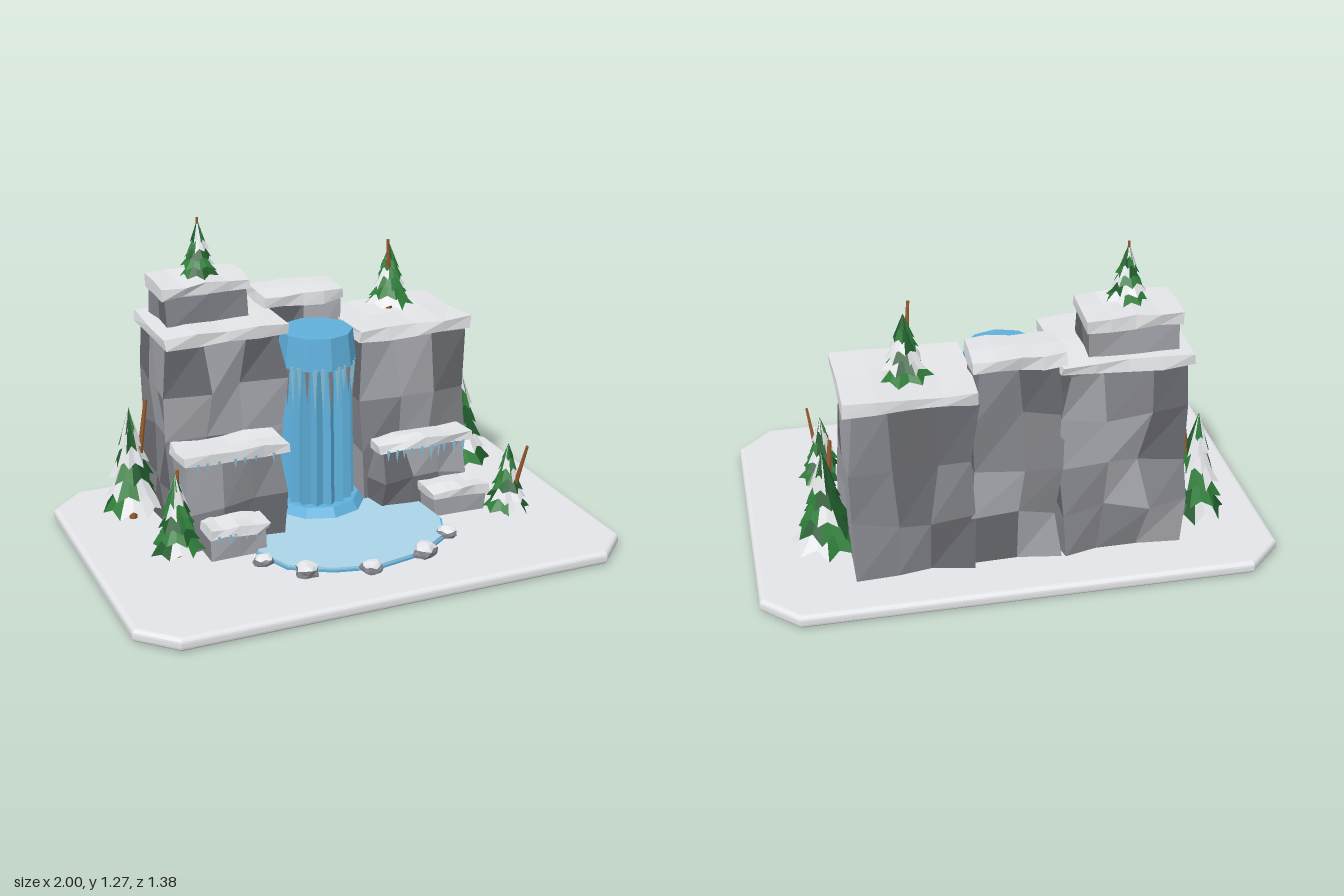
import * as THREE from 'three';

const mat = (name, color) => {
  const m = new THREE.MeshStandardMaterial({ color, flatShading: true });
  m.name = name;
  return m;
};

// Repeatable pseudo-random value in 0..1 from up to three numbers
const hash = (a, b = 0, c = 0) => {
  const r = v => Math.round(v * 1000) / 1000 + 0;
  const s = Math.sin(r(a) * 127.1 + r(b) * 311.7 + r(c) * 74.7) * 43758.5453;
  return s - Math.floor(s);
};

export function createModel() {
  const model = new THREE.Group();
  model.name = 'winterWaterfall';
  const snow = mat('snow', 0xe9ebee);
  const rockLight = mat('rockLight', 0xa2a3a9);
  const rockMid = mat('rockMid', 0x84858b);
  const rockDark = mat('rockDark', 0x6a6b71);
  const water = mat('water', 0x5fb0dc);
  const pool = mat('pool', 0xaed8ec);
  const ice = mat('ice', 0x8cc6e0);
  const green = mat('needles', 0x2f7d3a);
  const darkGreen = mat('darkNeedles', 0x1f5a2c);
  const bark = mat('bark', 0x955a30);
  [green, darkGreen, water].forEach(m => { m.side = THREE.DoubleSide; });
  const treeSnow = snow.clone();
  treeSnow.side = THREE.DoubleSide;
  const rocks = [rockLight, rockMid, rockDark];

  const add = (parent, name, geo, material, x = 0, y = 0, z = 0) => {
    const mesh = new THREE.Mesh(geo, material);
    mesh.name = name;
    mesh.position.set(x, y, z);
    parent.add(mesh);
    return mesh;
  };

  // Push every vertex by a rule, shared corners moving together
  const warp = (geo, rule) => {
    const p = geo.attributes.position;
    for (let i = 0; i < p.count; i++) {
      p.setXYZ(i, ...rule(p.getX(i), p.getY(i), p.getZ(i), i));
    }
    return geo;
  };
  const jitterBox = (w, h, d, segs, amount, seed) =>
    warp(new THREE.BoxGeometry(w, h, d, ...segs), (x, y, z) => [
      x + (hash(x, y, z + seed) - 0.5) * amount[0],
      y + (hash(x + seed, y, z) - 0.5) * amount[1],
      z + (hash(x, y + seed, z) - 0.5) * amount[2]]);
  const facet = (geo, perFace, pick) => {
    const g = geo.toNonIndexed();
    g.clearGroups();
    for (let i = 0; i * perFace < g.attributes.position.count; i++) {
      g.addGroup(i * perFace, perFace, pick(i));
    }
    g.computeVertexNormals();
    return g;
  };

  // Snowy ground slab with cut corners and rounded rim
  const slab = new THREE.Shape();
  const W = 0.98, D = 0.67, C = 0.125;
  [[-W + C, -D], [W - C, -D], [W, -D + C], [W, D - C], [W - C, D], [-W + C, D], [-W, D - C], [-W, -D + C]]
    .forEach(([x, y], i) => (i ? slab.lineTo(x, y) : slab.moveTo(x, y)));
  const slabGeo = new THREE.ExtrudeGeometry(slab, {
    depth: 0.014, bevelSize: 0.02, bevelThickness: 0.019, bevelSegments: 4 });
  slabGeo.rotateX(-Math.PI / 2);
  add(model, 'ground', slabGeo, snow, 0, 0.019, 0);

  // Cliff blocks with snow caps: x0, x1, y0, y1, z0, z1, cap thickness, segments
  const cliffs = [
    ['leftCliff', -0.64, -0.14, 0.05, 0.875, -0.5, -0.1, 0.045, [3, 4, 3]],
    ['upperLeftCliff', -0.6, -0.24, 0.85, 1.03, -0.47, -0.23, 0.045, [2, 1, 2]],
    ['middleCliff', -0.16, 0.185, 0.05, 0.925, -0.5, -0.3, 0.05, [2, 4, 1]],
    ['rightCliff', 0.165, 0.655, 0.05, 0.8, -0.5, -0.09, 0.045, [3, 3, 3]],
    ['leftLedge', -0.63, -0.2, 0.05, 0.445, -0.13, 0.06, 0.04, [3, 2, 1]],
    ['leftStep', -0.57, -0.33, 0.05, 0.18, 0.03, 0.17, 0.035, [2, 1, 1]],
    ['rightLedge', 0.21, 0.62, 0.05, 0.345, -0.12, 0.01, 0.04, [3, 2, 1]],
    ['rightStep', 0.39, 0.63, 0.05, 0.16, -0.02, 0.15, 0.035, [2, 1, 1]],
  ];
  cliffs.forEach(([name, x0, x1, y0, y1, z0, z1, cap, segs], k) => {
    const group = new THREE.Group();
    group.name = name;
    model.add(group);
    const w = x1 - x0, h = y1 - y0 - cap, d = z1 - z0, cx = (x0 + x1) / 2, cz = (z0 + z1) / 2;
    const big = w * h > 0.1 ? 0.045 : 0.02;
    const body = jitterBox(w - 0.025, h, d - 0.025, segs, [big, 0, big], k * 3.7);
    // Slide the inner courses up and down, leaving top and foot level
    warp(body, (x, y, z) => [x,
      y + (Math.abs(y) < h / 2 - 0.001 ? (hash(Math.round(x * 9), Math.round(y * 9), z) - 0.5) * 0.05 : 0), z]);
    const bodyGeo = facet(body, 6, i => Math.floor(hash(i + 1, k * 5 + 2) * 2.99));
    add(group, name + 'Rock', bodyGeo, rocks, cx, y0 + h / 2, cz);
    const capGeo = jitterBox(w, cap, d, [4, 1, 2], [0.012, 0.016, 0.02], k + 0.31);
    add(group, name + 'Snow', capGeo, snow, cx, y1 - cap / 2, cz);
  });

  // Frozen pool with a deeper blue rim
  const outline = [[-0.3, 0], [-0.38, 0.17], [-0.32, 0.33], [-0.17, 0.42], [0, 0.46], [0.2, 0.42],
    [0.34, 0.32], [0.4, 0.17], [0.39, 0], [0.2, -0.12], [-0.18, -0.12]];
  const plate = s => {
    const shape = new THREE.Shape(outline.map(([x, z]) => new THREE.Vector2(x * s, -z * s)));
    return new THREE.ExtrudeGeometry(shape, { depth: 0.01, bevelEnabled: false }).rotateX(-Math.PI / 2);
  };
  add(model, 'poolRim', plate(1.02), water, 0, 0.05, 0);
  add(model, 'poolSurface', plate(1), pool, 0, 0.058, 0);

  // Waterfall: splash ring, fluted curtain, overhanging lip
  const fall = new THREE.Group();
  fall.name = 'waterfall';
  fall.position.set(0.012, 0, -0.18);
  model.add(fall);
  add(fall, 'splash', new THREE.CylinderGeometry(0.17, 0.205, 0.05, 10), water, 0, 0.08, 0);
  const curtain = warp(new THREE.CylinderGeometry(0.14, 0.152, 0.63, 32, 1, true), (x, y, z, i) => {
    const f = (i % 33) % 2 ? 0.84 : 1;
    return [x * f, y, z * f];
  });
  add(fall, 'curtain', curtain, water, 0, 0.385, 0);
  add(fall, 'lip', new THREE.CylinderGeometry(0.145, 0.16, 0.13, 10), water, 0, 0.745, 0);

  // Icicles hanging in rows: x0, x1, top y, z, count, length
  const icicle = (parent, x, y, z, len, r, material) => {
    const geo = new THREE.ConeGeometry(r, len, 5).rotateX(Math.PI).translate(0, -len / 2, 0);
    add(parent, 'icicle', geo, material, x, y, z);
  };
  [[-0.6, -0.24, 0.415, 0.055, 7, 0.045], [-0.55, -0.36, 0.155, 0.165, 5, 0.045],
    [0.24, 0.6, 0.315, 0.008, 10, 0.07]].forEach(([x0, x1, y, z, n, len]) => {
    for (let i = 0; i < n; i++) {
      const r = hash(i, x0, y);
      icicle(model, x0 + (x1 - x0) * (i + r * 0.6) / n, y, z, len * (0.5 + r * 0.6), 0.008, ice);
    }
  });
  for (let i = 0; i < 13; i++) {
    const a = -1.3 + i * 0.217, r = hash(i, 4.4);
    icicle(fall, Math.sin(a) * 0.146, 0.69, Math.cos(a) * 0.146, 0.09 + r * 0.13, 0.011, i % 3 ? ice : rockMid);
  }

  // Pine trees: x, z, foot y, apex y, radius, trunk tip offset x, y, z
  const pines = [
    [-0.42, -0.335, 1.02, 1.26, 0.078, 0, 0.01, 0],
    [0.41, -0.35, 0.79, 1.07, 0.1, -0.025, 0.03, 0.035],
    [-0.725, -0.34, 0.05, 0.53, 0.125, 0.065, 0.03, 0.02],
    [-0.67, 0.065, 0.05, 0.4, 0.105, 0.01, 0.01, 0],
    [0.72, -0.285, 0.05, 0.5, 0.13, -0.035, 0.02, 0.035],
    [0.68, 0.215, 0.05, 0.36, 0.095, 0.045, 0.005, 0.07],
  ];
  const needles = [treeSnow, green, darkGreen];
  pines.forEach(([x, z, y0, y1, radius, tx, ty, tz], k) => {
    const tree = new THREE.Group();
    tree.name = 'pineTree';
    tree.position.set(x, y0, z);
    model.add(tree);
    const h = y1 - y0, tiers = 6, sides = 14;
    // Leaning trunk that pokes out past the crown
    const tip = new THREE.Vector3(tx, h + ty, tz);
    const len = tip.length();
    const trunk = add(tree, 'trunk', new THREE.CylinderGeometry(radius * 0.06, radius * 0.13, len, 6)
      .translate(0, len / 2, 0), bark);
    trunk.quaternion.setFromUnitVectors(new THREE.Vector3(0, 1, 0), tip.normalize());
    // Ragged skirts of needles, some laden with snow
    for (let t = 0; t < tiers; t++) {
      const low = h * (0.1 + 0.135 * t), r = radius * (1 - t * 0.15);
      const tall = Math.min(h * 0.36, h - low);
      const cone = warp(new THREE.ConeGeometry(r, tall, sides, 1, true), (px, py, pz, i) => {
        if (py > 0) return [px, py, pz];
        const n = (i % (sides + 1)) % sides;
        const f = (n % 2 ? 0.8 : 1.02) + (hash(n, t, k) - 0.5) * 0.16;
        return [px * f, py + (n % 2 ? 0.04 : -0.01) * h + (hash(n, k, t) - 0.5) * 0.03 * h, pz * f];
      });
      const geo = facet(cone, 3, i => {
        const v = hash(Math.floor(i / 2) + 1, t * 3 + 1, k * 7 + 2);
        return v < 0.36 ? 0 : v < 0.75 ? 1 : 2;
      });
      add(tree, 'needleTier', geo, needles, 0, low + tall / 2, 0).rotation.y = t * 0.7 + k;
    }
  });

  // Snow-dusted boulders around the pool: x, z, size
  [[-0.39, 0.25, 0.04], [-0.27, 0.395, 0.052], [-0.035, 0.47, 0.044], [0.21, 0.42, 0.053], [0.365, 0.305, 0.042]]
    .forEach(([x, z, s], k) => {
      const ball = warp(new THREE.IcosahedronGeometry(s, 1), (px, py, pz) => {
        const f = 0.85 + hash(px, py + k, pz) * 0.35;
        return [px * f, py * f * 0.65, pz * f * 0.85];
      });
      const p = ball.attributes.position;
      ball.clearGroups();
      for (let i = 0; i < p.count; i += 3) {
        const high = (p.getY(i) + p.getY(i + 1) + p.getY(i + 2)) / 3 > s * 0.3;
        ball.addGroup(i, 3, high ? 0 : 1);
      }
      ball.computeVertexNormals();
      add(model, 'boulder', ball, [snow, rockMid], x, 0.065, z).rotation.y = k * 1.3;
    });

  return model;
}
